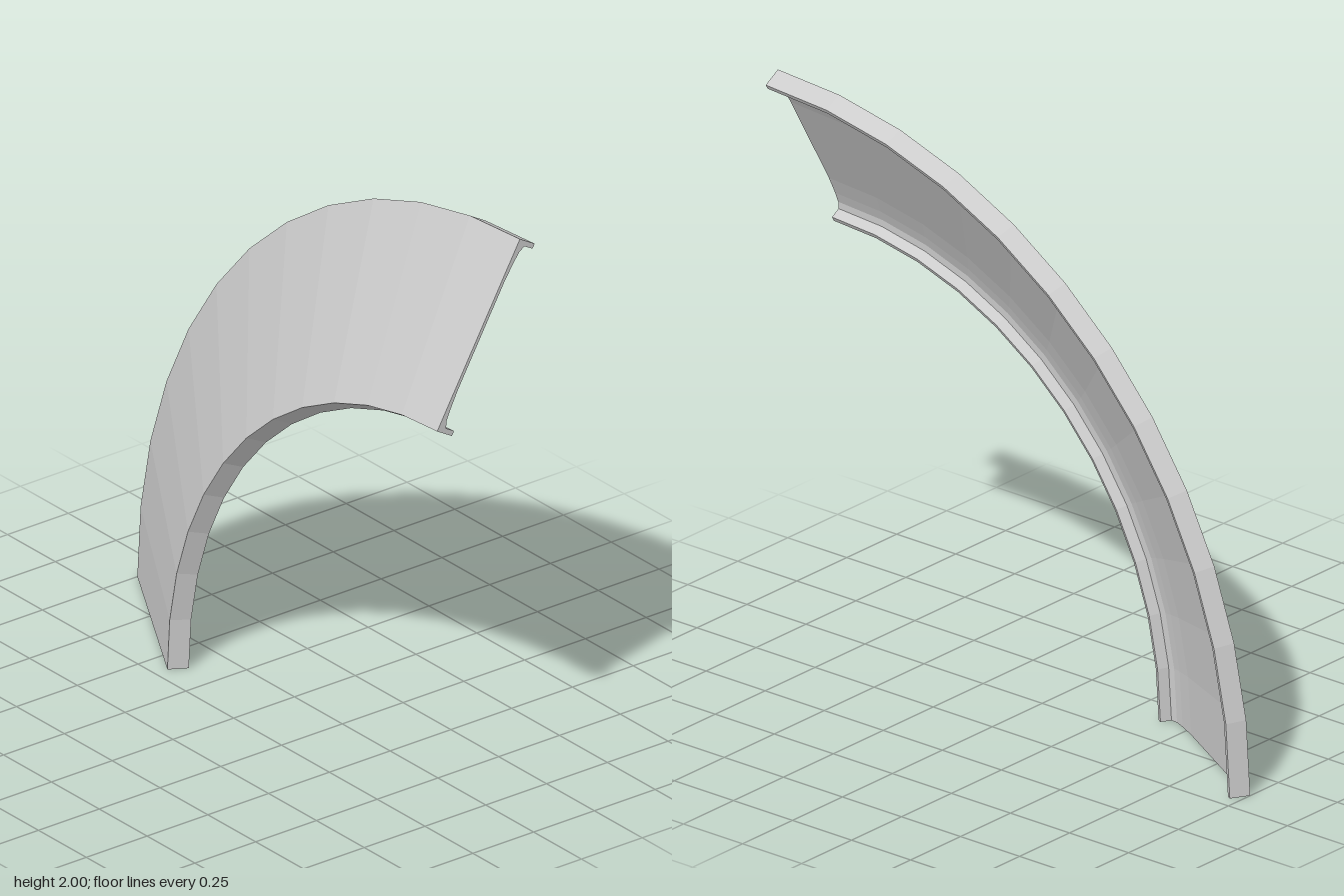
import * as THREE from 'three';

// Quarter-turn conical panel with a flange along its inner and outer rims
export function createModel() {
  const group = new THREE.Group();
  group.name = 'curvedPanel';
  const material = new THREE.MeshStandardMaterial({ color: 0xcccccc, flatShading: true });
  const capMaterial = new THREE.MeshStandardMaterial({ color: 0xcccccc, side: THREE.DoubleSide });

  // Cross-section: u runs along the sloping sheet, w is depth behind it
  const L = 0.681, depth = 0.07, flange = 0.018, sheet = 0.012;
  const innerHalf = [[flange, depth], [flange, 0.032], [0.04, 0.021], [0.08, 0.016], [0.15, sheet]];
  const outerHalf = innerHalf.map(([u, w]) => [L - u, w]).reverse();
  const section = [[0, 0], [0, depth], ...innerHalf, ...outerHalf, [L, depth], [L, 0]];
  const c = Math.cos(Math.PI / 6), s = 0.5;
  const profile = section.map(([u, w]) => new THREE.Vector2(1.41 + u * c - w * s, 0.2 - u * s - w * c));

  // Swept body, a quarter turn about the z axis through x = 1
  const sweep = new THREE.LatheGeometry([...profile, profile[0]], 12, Math.PI, Math.PI / 2);
  sweep.rotateX(Math.PI / 2).translate(1, 0, 0);
  const body = new THREE.Mesh(sweep, material);
  body.name = 'flangedPanel';
  group.add(body);

  // Flat end faces
  const addCap = (name, radial, normal) => {
    const geometry = new THREE.ShapeGeometry(new THREE.Shape(profile));
    geometry.applyMatrix4(new THREE.Matrix4().makeBasis(radial, new THREE.Vector3(0, 0, 1), normal));
    geometry.translate(1, 0, 0);
    const cap = new THREE.Mesh(geometry, capMaterial);
    cap.name = name;
    group.add(cap);
  };
  addCap('upperEnd', new THREE.Vector3(0, 1, 0), new THREE.Vector3(1, 0, 0));
  addCap('lowerEnd', new THREE.Vector3(-1, 0, 0), new THREE.Vector3(0, 1, 0));

  return group;
}
